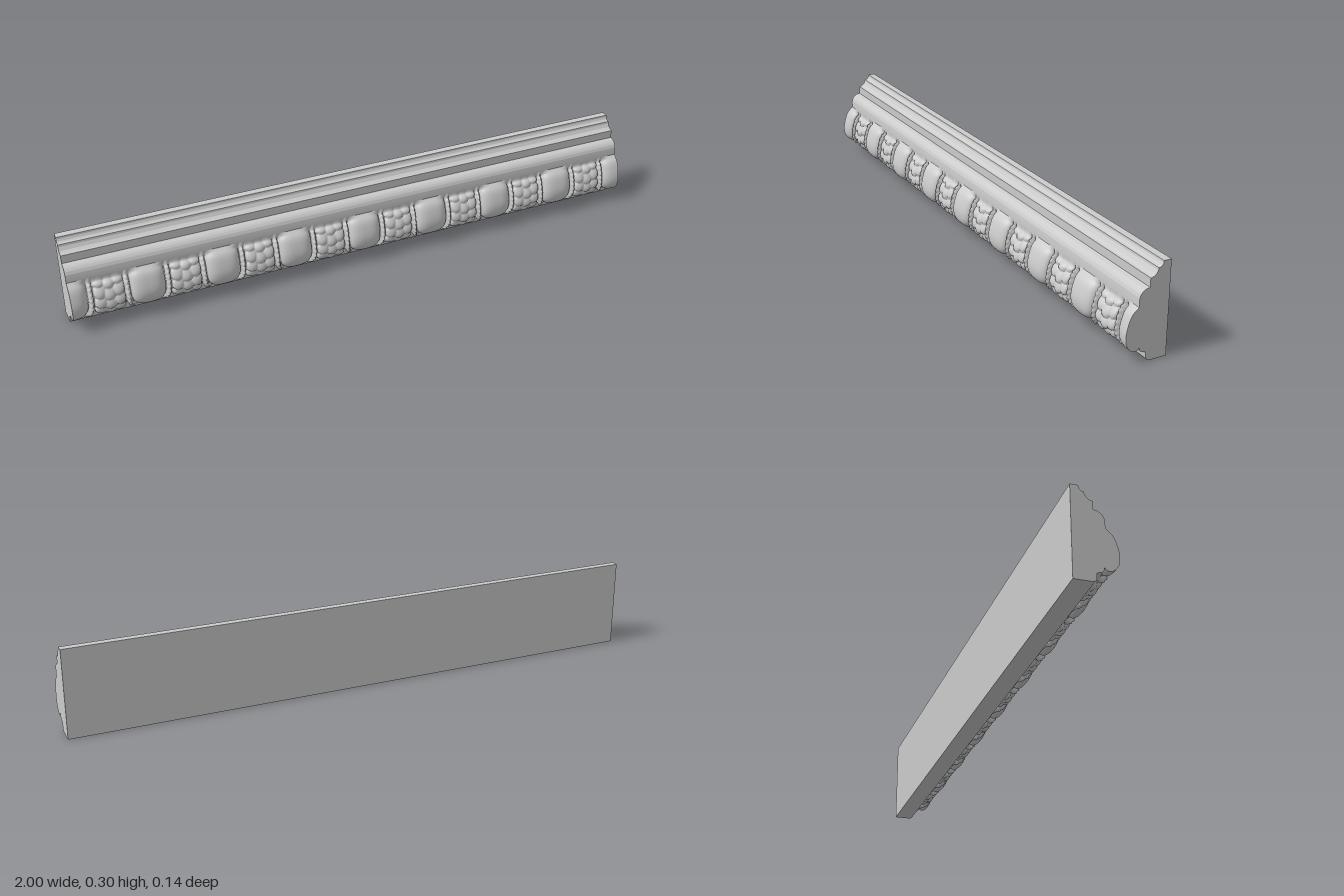
import * as THREE from 'three';
import { toCreasedNormals } from 'three/addons/utils/BufferGeometryUtils.js';

const PITCH = 0.25, RELIEF = 0.026;
const material = new THREE.MeshStandardMaterial({ color: 0xcccccc });
const capMaterial = new THREE.MeshStandardMaterial({ color: 0xcccccc, side: THREE.DoubleSide });

// Outer profile of the carved band, from top to bottom, as [z, y]
const bandCurve = new THREE.CatmullRomCurve3([
  [0.03, 0.172], [0.05, 0.153], [0.062, 0.125], [0.069, 0.09],
  [0.066, 0.06], [0.05, 0.035], [0.028, 0.024], [-0.002, 0.027],
].map(([z, y]) => new THREE.Vector3(0, y, z)));

// Overlapping leaf scales; v is measured from the column centre, t down the band
function leafHeight(v, t) {
  let h = 0.006 * Math.sqrt(Math.max(0, 1 - (v / 0.05) ** 2));
  for (let row = 0; row < 5; row++) {
    for (const lobe of [-1, 0, 1]) {
      const tc = 0.07 + row * 0.2 + (lobe ? 0 : 0.05);
      const a = (v - lobe * 0.029) / 0.021, b = (t - tc) / 0.13;
      const d = a * a + b * b;
      if (d < 1) h = Math.max(h, 0.005 + (0.012 + 0.005 * b) * Math.sqrt(1 - d) + (lobe ? 0 : 0.002));
    }
  }
  return h;
}

// Height of the carving above its ground: egg, ruffled rim, leaf column
function carvedHeight(x, t) {
  const u = Math.abs(x - Math.round(x / PITCH) * PITCH);
  const s = Math.max(0, t - 0.3) / 0.55;
  const r = Math.cbrt((u / 0.056) ** 3 + s ** 3);
  if (r < 1) return RELIEF * Math.sqrt(1 - r ** 3);
  if (r > 1.05 && r < 1.32) {
    const bump = Math.sin(Math.PI * (r - 1.05) / 0.27);
    return Math.sqrt(bump) * (0.018 + 0.0015 * Math.sin(t * 70));
  }
  const v = x - (Math.floor(x / PITCH) + 0.5) * PITCH;
  return Math.abs(v) < 0.05 ? leafHeight(v, t) : 0;
}

function bandPoint(x, t) {
  const p = bandCurve.getPointAt(t), tan = bandCurve.getTangentAt(t);
  const fade = Math.min(1, t / 0.05, (1 - t) / 0.08);
  const depth = (RELIEF - carvedHeight(x, t)) * fade;
  return [x, p.y - tan.z * depth, p.z + tan.y * depth];
}

function bandGeometry(nx, nt) {
  const positions = [], index = [];
  for (let j = 0; j <= nt; j++) {
    for (let i = 0; i <= nx; i++) {
      positions.push(...bandPoint(-1 + 2 * i / nx, j / nt));
      if (i < nx && j < nt) {
        const a = j * (nx + 1) + i, b = a + nx + 1;
        index.push(a, b, a + 1, b, b + 1, a + 1);
      }
    }
  }
  const g = new THREE.BufferGeometry();
  g.setAttribute('position', new THREE.Float32BufferAttribute(positions, 3));
  g.setIndex(index);
  g.computeVertexNormals();
  return g;
}

// Plain stepped moulding, drawn with shape x as model z
function mouldingGeometry() {
  const s = new THREE.Shape();
  s.moveTo(-0.069, 0);
  s.lineTo(-0.014, 0);
  s.absarc(-0.014, 0.014, 0.014, -Math.PI / 2, 0, false);
  s.lineTo(0, 0.172);
  s.lineTo(0.03, 0.172);
  s.absarc(-0.003, 0.192, 0.033, 0, Math.PI / 2, false);
  s.lineTo(-0.003, 0.253);
  s.absarc(-0.003, 0.278, 0.025, -Math.PI / 2, -Math.PI, true);
  s.absarc(-0.029, 0.293, 0.015, -Math.PI / 2, -Math.PI, true);
  s.lineTo(-0.044, 0.296);
  s.lineTo(-0.069, 0.296);
  s.closePath();
  const g = new THREE.ExtrudeGeometry(s, { depth: 2, bevelEnabled: false, curveSegments: 12 });
  g.rotateY(-Math.PI / 2).translate(1, 0, 0);
  return toCreasedNormals(g, 0.5);
}

function endCapGeometry(x, nt) {
  const pts = [];
  for (let j = 0; j <= nt; j++) {
    const [, y, z] = bandPoint(x, j / nt);
    pts.push(new THREE.Vector2(z, y));
  }
  pts.push(new THREE.Vector2(-0.002, 0.172));
  return new THREE.ShapeGeometry(new THREE.Shape(pts)).rotateY(-Math.PI / 2).translate(x, 0, 0);
}

export function createModel() {
  const group = new THREE.Group();
  group.name = 'carvedMoulding';
  const add = (name, geometry, mat) => {
    const mesh = new THREE.Mesh(geometry, mat);
    mesh.name = name;
    group.add(mesh);
  };
  add('steppedMoulding', mouldingGeometry(), material);
  add('eggAndLeafBand', bandGeometry(640, 64), material);
  add('leftEndCap', endCapGeometry(1, 64), capMaterial);
  add('rightEndCap', endCapGeometry(-1, 64), capMaterial);
  return group;
}
